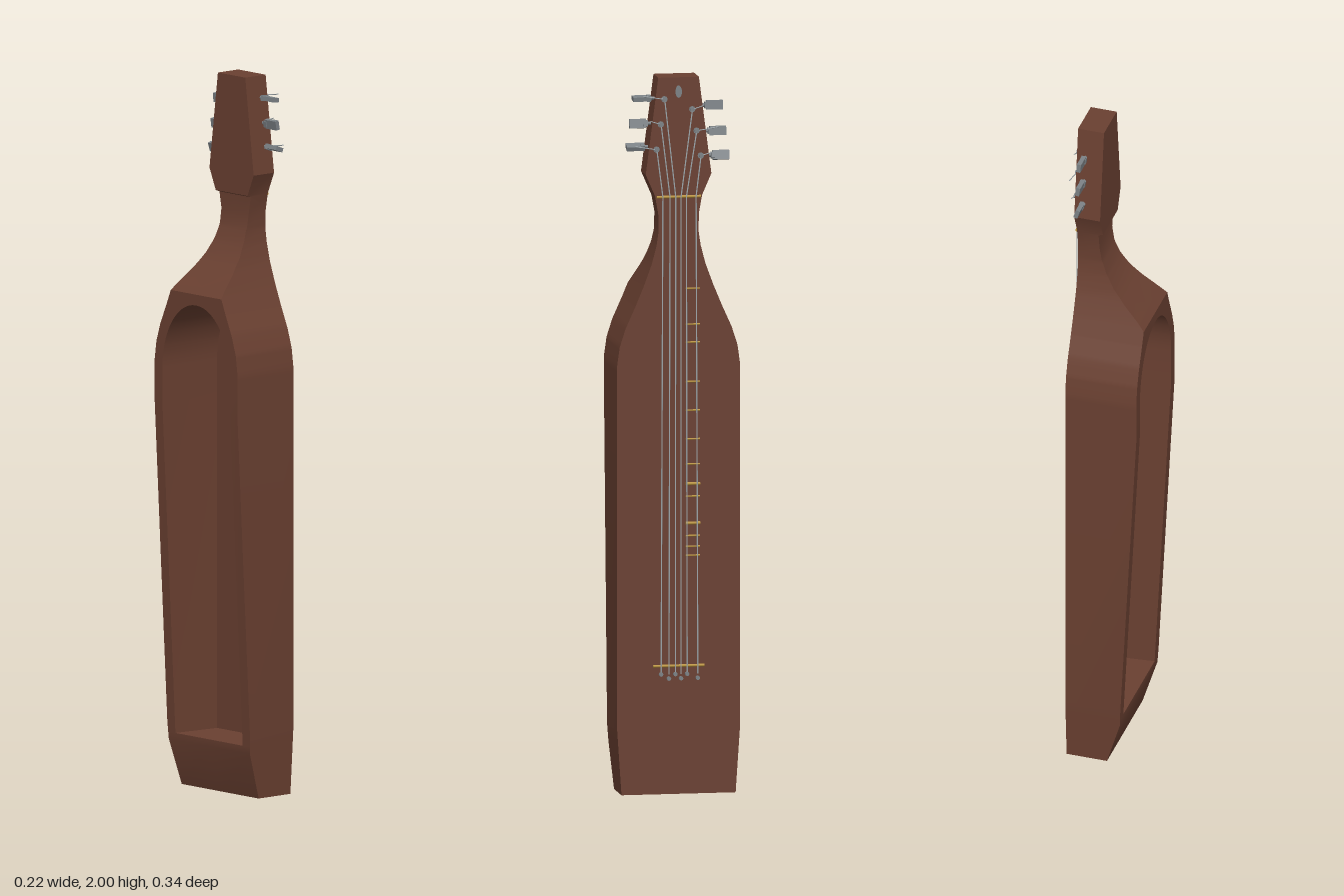
import * as THREE from 'three';
import { toCreasedNormals } from 'three/addons/utils/BufferGeometryUtils.js';

const mat = (name, color) => {
  const m = new THREE.MeshStandardMaterial({ color });
  m.name = name;
  return m;
};

const FRONT = 0.097, FLOOR = 0.08;
// half width and back depth along the height: [y, value]
const WIDTH = [[0, 0.16], [0.18, 0.172], [1.2, 0.172], [1.25, 0.165], [1.3, 0.149], [1.36, 0.122], [1.42, 0.097],
  [1.48, 0.075], [1.53, 0.062], [1.57, 0.056], [1.62, 0.057], [1.67, 0.066], [1.73, 0.092], [2, 0.057]];
const BACK = [[0, -0.02], [0.13, -0.06], [1.08, -0.109], [1.4, -0.109], [1.42, -0.09], [1.46, -0.046], [1.5, -0.01],
  [1.54, 0.014], [1.58, 0.029], [1.62, 0.035], [1.665, 0.035], [1.67, 0.022], [2, 0.022]];

function at(table, y) {
  for (let i = 1; i < table.length; i++) {
    const [y0, v0] = table[i - 1], [y1, v1] = table[i];
    if (y <= y1) return v0 + (v1 - v0) * (y - y0) / (y1 - y0);
  }
  return table[table.length - 1][1];
}

// Rectangular sections, with a hollow cut into the back between LOW and HIGH
function bodyGeometry() {
  const LOW = 0.15, HIGH = 1.37, ARCH = 1.18;
  const ys = new Set([LOW, HIGH, ARCH]);
  [...WIDTH, ...BACK].forEach(([y]) => ys.add(y));
  for (let i = 1; i < 14; i++) ys.add(ARCH + (HIGH - ARCH) * Math.sin(i / 14 * Math.PI / 2));
  const rings = [];
  const ring = (y, open) => {
    const w = at(WIDTH, y), b = at(BACK, y);
    const t = Math.max(0, (y - ARCH) / (HIGH - ARCH));
    const h = open ? 0.14 * Math.sqrt(Math.max(0, 1 - t * t)) : 0;
    const f = open ? FLOOR : b;
    rings.push([[FRONT, w], [FRONT, -w], [b, -w], [b, -h], [f, -h * 0.9], [f, h * 0.9], [b, h], [b, w]]
      .map(([x, z]) => [x, y, z]));
  };
  [...ys].sort((a, b) => a - b).forEach((y) => {
    if (y <= LOW) ring(y, false);
    if (y >= LOW && y <= HIGH) ring(y, true);
    if (y >= HIGH) ring(y, false);
  });
  const pos = [];
  const tri = (...p) => p.forEach((v) => pos.push(...v));
  for (let i = 0; i + 1 < rings.length; i++) {
    const lo = rings[i], hi = rings[i + 1];
    for (let j = 0; j < 8; j++) {
      const k = (j + 1) % 8;
      tri(lo[j], lo[k], hi[k]);
      tri(lo[j], hi[k], hi[j]);
    }
  }
  const s = rings[0], e = rings[rings.length - 1];
  tri(s[0], s[7], s[2]); tri(s[0], s[2], s[1]);
  tri(e[0], e[2], e[7]); tri(e[0], e[1], e[2]);
  const g = new THREE.BufferGeometry();
  g.setAttribute('position', new THREE.Float32BufferAttribute(pos, 3));
  return toCreasedNormals(g, 0.45);
}

export function createModel() {
  const wood = mat('brown wood', 0x6a4031);
  const steel = mat('grey steel', 0x7c8286);
  const wire = mat('string wire', 0xa3abaf);
  const brass = mat('brass', 0xb8923c);
  const model = new THREE.Group();
  model.name = 'lapGuitar';

  const add = (name, geo, material, x = 0, y = 0, z = 0, parent = model) => {
    const m = new THREE.Mesh(geo, material);
    m.name = name;
    m.position.set(x, y, z);
    parent.add(m);
    return m;
  };
  const rod = (name, a, b, r, material) => {
    const p = new THREE.Vector3(...a), d = new THREE.Vector3(...b).sub(p);
    const m = add(name, new THREE.CylinderGeometry(r, r, d.length(), 8), material);
    m.position.copy(p).addScaledVector(d, 0.5);
    m.quaternion.setFromUnitVectors(new THREE.Vector3(0, 1, 0), d.normalize());
  };

  add('body', bodyGeometry(), wood);

  // Bridge, nut and short frets under the outer string
  rod('bridge', [0.1, 0.358, -0.072], [0.1, 0.358, 0.072], 0.004, brass);
  rod('nut', [0.1, 1.667, -0.062], [0.1, 1.667, 0.062], 0.004, brass);
  [1.41, 1.31, 1.26, 1.15, 1.07, 0.99, 0.92, 0.865, 0.83, 0.755, 0.72, 0.69, 0.665].forEach((y) => {
    const r = y === 0.865 || y === 0.755 ? 0.0045 : 0.0025;
    rod('fret', [0.0985, y, -0.02], [0.0985, y, -0.06], r, brass);
  });

  // Tuners from the outer string inwards: [post y, post z, knob y, knob turn]
  const tuners = [
    [1.80, 0.062, 1.805, 1.2], [1.87, 0.05, 1.87, 0.2], [1.94, 0.04, 1.94, 1.45],
    [1.91, -0.038, 1.917, 0.1], [1.85, -0.05, 1.845, 0.15], [1.78, -0.062, 1.777, 0.3],
  ];
  const bridgeZ = [0.05, 0.028, 0.01, -0.006, -0.023, -0.053];
  const nutZ = [0.045, 0.025, 0.009, -0.006, -0.021, -0.048];
  tuners.forEach(([y, z, ky, turn], i) => {
    const side = Math.sign(z);
    const x = 0.103;
    rod('string', [x, 0.335, bridgeZ[i]], [x, 1.667, nutZ[i]], 0.0018, wire);
    rod('stringHead', [x, 1.667, nutZ[i]], [x, y, z], 0.0018, wire);
    rod('stringTail', [x, y, z], [x + 0.002, y + 0.01, z + side * (i % 2 ? 0.03 : 0.06)], 0.0014, wire);
    rod('tailPin', [0.096, 0.335 - (i % 2) * 0.012, bridgeZ[i]], [0.106, 0.335 - (i % 2) * 0.012, bridgeZ[i]], 0.006, steel);
    rod('tunerPost', [0.09, y, z], [0.107, y, z], 0.006, steel);
    rod('tunerWasher', [0.096, y, z], [0.1, y, z], 0.009, steel);

    const edge = at(WIDTH, ky);
    rod('tunerShaft', [0.073, ky, side * (edge - 0.01)], [0.073, ky, side * (edge + 0.03)], 0.005, steel);
    const knob = new THREE.Group();
    knob.name = 'tunerKnob';
    knob.position.set(0.073, ky, side * (edge + 0.037));
    knob.rotation.z = turn;
    model.add(knob);
    add('knobPaddle', new THREE.BoxGeometry(0.012, 0.026, 0.046), steel, 0, 0, 0, knob);
    add('knobCollar', new THREE.BoxGeometry(0.016, 0.018, 0.012), steel, 0, 0, -side * 0.022, knob);
  });

  // Small oval plate at the top of the headstock
  const plate = add('headPlate', new THREE.CylinderGeometry(0.009, 0.009, 0.004, 20), steel, 0.098, 1.96, 0);
  plate.rotation.z = -Math.PI / 2;
  plate.scale.x = 1.9;
  return model;
}
